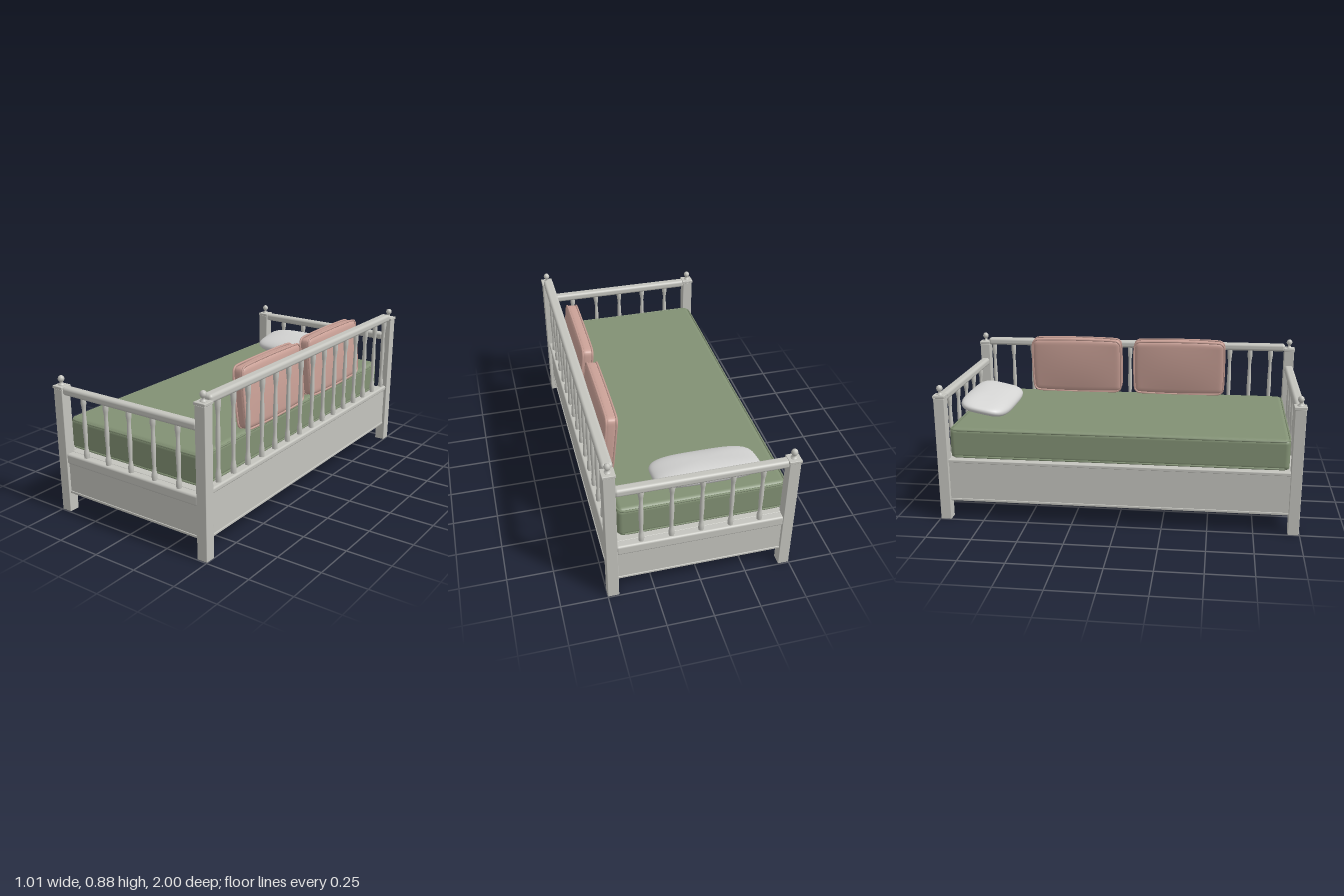
import * as THREE from 'three';
import { mergeVertices } from 'three/addons/utils/BufferGeometryUtils.js';
import { RoundedBoxGeometry } from 'three/addons/geometries/RoundedBoxGeometry.js';

function material(name, color) {
  const m = new THREE.MeshStandardMaterial({ color });
  m.name = name;
  return m;
}

export function createModel() {
  const model = new THREE.Group();
  model.name = 'daybed';
  const paint = material('painted wood grey', 0xc4c4be);
  const green = material('mattress green', 0x829174);
  const pink = material('cushion pink', 0xc9a096);
  const linen = material('pillow light grey', 0xd4d4d3);

  function add(parent, name, geometry, mat, x = 0, y = 0, z = 0) {
    const mesh = new THREE.Mesh(geometry, mat);
    mesh.name = name;
    mesh.position.set(x, y, z);
    parent.add(mesh);
    return mesh;
  }

  // Box given by its limits, with softened edges
  function block(name, x0, x1, y0, y1, z0, z1, r = 0.003, mat = paint) {
    const g = new RoundedBoxGeometry(x1 - x0, y1 - y0, z1 - z0, 3, r);
    return add(model, name, g, mat, (x0 + x1) / 2, (y0 + y1) / 2, (z0 + z1) / 2);
  }

  // Rounded box, subdivided so its faces can bulge outwards
  function stuffedBox(w, h, d, r, bulgeX, bulgeY, bulgeZ) {
    let g = new THREE.BoxGeometry(w, h, d, 8, 28, 40);
    g.deleteAttribute('normal');
    g.deleteAttribute('uv');
    g = mergeVertices(g);
    const p = g.attributes.position;
    const half = new THREE.Vector3(w / 2, h / 2, d / 2);
    const inner = half.clone().subScalar(r);
    const outer = inner.clone().negate();
    const v = new THREE.Vector3(), c = new THREE.Vector3();
    for (let i = 0; i < p.count; i++) {
      v.fromBufferAttribute(p, i);
      c.copy(v).clamp(outer, inner);
      v.sub(c).setLength(r).add(c);
      const a = v.clone().divide(half);
      const fy = 1 - a.y * a.y, fz = 1 - a.z * a.z;
      p.setXYZ(i, v.x + a.x * bulgeX * fy * fz, v.y + a.y * bulgeY * fz, v.z + a.z * bulgeZ * fy);
    }
    g.computeVertexNormals();
    return g;
  }

  // Closed cord round a rounded rectangle; place(u, v) maps it into space
  function piping(w, h, corner, radius, place) {
    const points = [];
    for (let q = 0; q < 4; q++) {
      const su = q === 0 || q === 3 ? 1 : -1, sv = q < 2 ? 1 : -1;
      for (let i = 0; i <= 4; i++) {
        const t = (q + i / 4) * Math.PI / 2;
        points.push(place(su * (w / 2 - corner) + corner * Math.cos(t),
          sv * (h / 2 - corner) + corner * Math.sin(t)));
      }
      // Midpoint of the following side
      const s = [[0, h / 2], [-w / 2, 0], [0, -h / 2], [w / 2, 0]][q];
      points.push(place(s[0], s[1]));
    }
    const curve = new THREE.CatmullRomCurve3(points, true, 'centripetal');
    return new THREE.TubeGeometry(curve, 160, radius, 6, true);
  }

  // Corner posts with square caps and ball finials
  const finial = new THREE.LatheGeometry([
    [0.017, 0], [0.017, 0.004], [0.009, 0.008], [0.008, 0.018], [0.014, 0.023],
    [0.018, 0.034], [0.014, 0.046], [0.008, 0.051], [0, 0.053],
  ].map(([r, y]) => new THREE.Vector2(r, y)), 24);
  for (const z of [-0.966, 0.966]) {
    for (const [x, top] of [[-0.47, 0.705], [0.47, 0.81]]) {
      block('post', x - 0.03, x + 0.03, 0, top, z - 0.03, z + 0.03);
      block('postCap', x - 0.034, x + 0.034, top, top + 0.016, z - 0.034, z + 0.034);
      add(model, 'finial', finial, paint, x, top + 0.016, z);
    }
  }

  // Turned baluster, stretched to the height of its opening
  const balusterProfile = [
    [0.014, 0], [0.015, 0.05], [0.0145, 0.1], [0.011, 0.16], [0.0095, 0.23], [0.011, 0.36],
    [0.0125, 0.5], [0.011, 0.65], [0.0095, 0.77], [0.011, 0.84], [0.0145, 0.9], [0.015, 0.95], [0.014, 1],
  ].map(([r, t]) => new THREE.Vector2(r, t));
  const balusterShape = new THREE.LatheGeometry(
    new THREE.SplineCurve(balusterProfile).getPoints(24), 14);
  function baluster(x, z, y0, y1) {
    add(model, 'baluster', balusterShape, paint, x, y0, z).scale.y = y1 - y0;
  }

  // Head and foot ends
  for (const s of [-1, 1]) {
    const z = s * 0.966;
    block('endTopRail', -0.445, 0.445, 0.675, 0.72, z - 0.026, z + 0.026, 0.016);
    block('endLowerRail', -0.445, 0.445, 0.285, 0.343, z - 0.026, z + 0.026, 0.012);
    block('endPanel', -0.445, 0.445, 0.108, 0.29, z - 0.014, z + 0.014);
    block('endPanelTrim', -0.445, 0.445, 0.108, 0.122, z - 0.018, z + 0.018);
    for (let i = -2; i <= 2; i++) baluster(i * 0.157 - 0.002, z, 0.34, 0.68);
  }

  // Long sides: the one on +x carries a balustrade
  for (const s of [-1, 1]) {
    const x = s * 0.468;
    block('sidePanel', x - 0.014, x + 0.014, 0.108, 0.35, -0.94, 0.94);
    block('sidePanelTrim', x - 0.018, x + 0.018, 0.108, 0.122, -0.94, 0.94);
  }
  block('sideLedge', -0.49, -0.445, 0.335, 0.352, -0.94, 0.94);
  block('sideLowerRail', 0.442, 0.494, 0.345, 0.375, -0.94, 0.94, 0.01);
  block('sideTopRail', 0.437, 0.495, 0.806, 0.85, -0.94, 0.94, 0.016);
  for (let i = 0; i < 15; i++) baluster(0.468, 0.853 - i * 0.126, 0.37, 0.81);

  // Bed base
  block('base', -0.46, 0.46, 0.11, 0.13, -0.96, 0.96);
  block('slatDeck', -0.46, 0.46, 0.325, 0.345, -0.95, 0.95);

  // Mattress with piped edges
  block('mattress', -0.468, 0.425, 0.352, 0.529, -0.93, 0.93, 0.028, green);
  for (const y of [0.365, 0.518]) {
    add(model, 'mattressPiping', piping(0.886, 1.852, 0.03, 0.006,
      (u, v) => new THREE.Vector3(u, 0, -v)), green, -0.0215, y, 0);
  }

  // Back cushions leaning on the balustrade
  const cushionShape = stuffedBox(0.066, 0.325, 0.55, 0.022, 0.012, 0.01, 0.007);
  for (const z of [0.288, -0.356]) {
    const cushion = new THREE.Group();
    cushion.name = 'backCushion';
    cushion.position.set(0.394, 0.703, z);
    cushion.rotation.z = 0.105;
    add(cushion, 'cushionBody', cushionShape, pink);
    for (const x of [-0.027, 0.027]) {
      add(cushion, 'cushionPiping', piping(0.552, 0.328, 0.03, 0.006, (u, v) => {
        const a = u / 0.276, b = v / 0.164;
        return new THREE.Vector3(x, v + b * 0.007 * (1 - a * a), -u - a * 0.005 * (1 - b * b));
      }), pink);
    }
    model.add(cushion);
  }

  // Pillow: a sphere squared off in plan and thinned towards its edge
  const ball = new THREE.SphereGeometry(1, 56, 32);
  ball.deleteAttribute('uv');
  ball.deleteAttribute('normal');
  const pillowShape = mergeVertices(ball, 1e-5);
  const pp = pillowShape.attributes.position;
  for (let i = 0; i < pp.count; i++) {
    const x = pp.getX(i), y = pp.getY(i), z = pp.getZ(i);
    const squared = Math.max((x ** 4 + z ** 4) ** 0.25, 1e-6);
    const k = Math.hypot(x, z) ** 0.85 / squared;
    pp.setXYZ(i, x * k * 0.283, Math.sign(y) * Math.abs(y) ** 0.9 * 0.05, z * k * 0.142);
  }
  pillowShape.computeVertexNormals();
  add(model, 'pillow', pillowShape, linen, -0.067, 0.597, -0.783).rotation.x = 0.2;

  return model;
}
